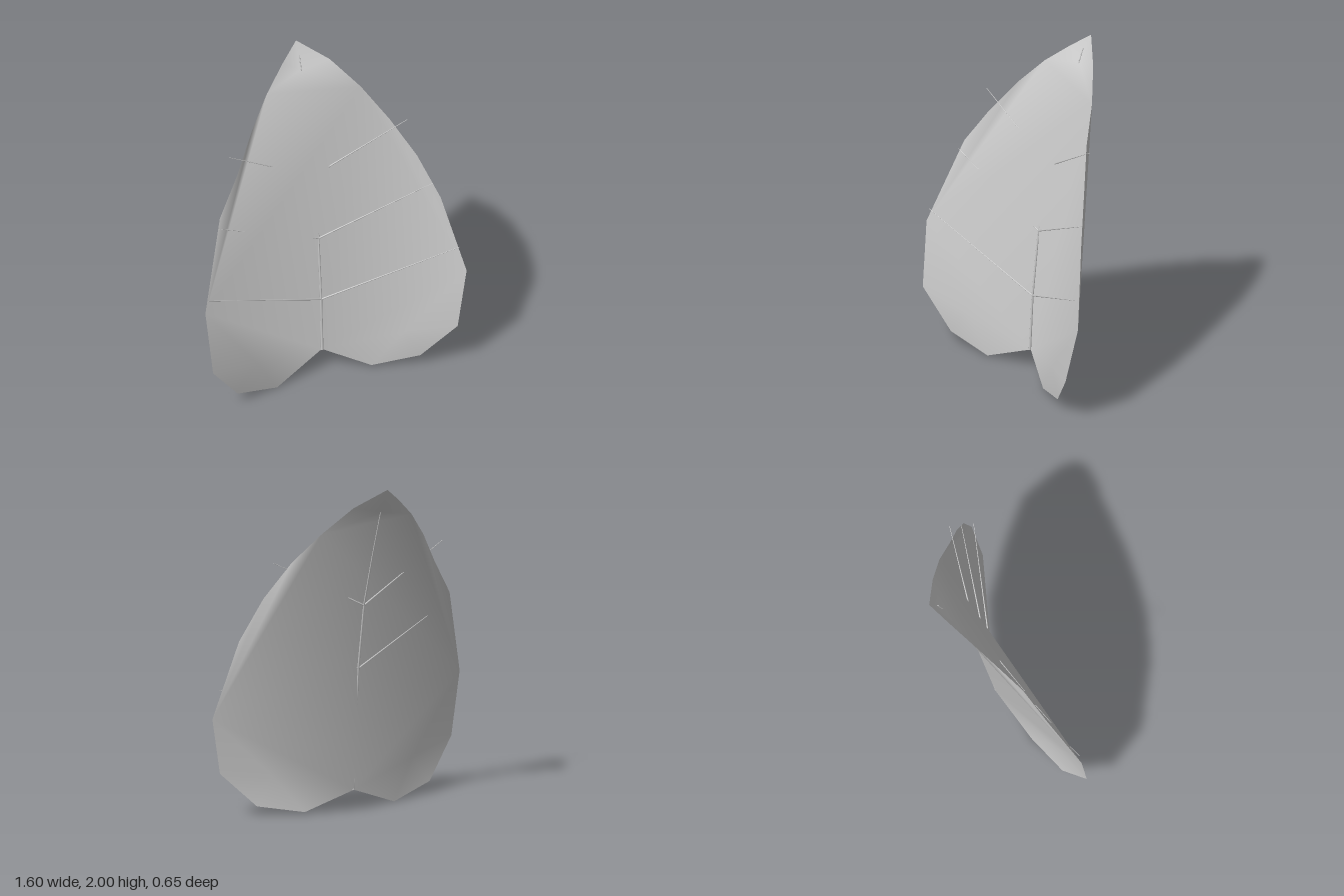
import * as THREE from 'three';

const mat = new THREE.MeshStandardMaterial({ color: 0xcccccc, side: THREE.DoubleSide });
const MID = -0.01; // x of the midrib

const POINTS = [
  // Leaf outline, clockwise from the tip as seen from the front
  [MID, 2, -0.33], [0.16, 1.89, -0.235], [0.31, 1.73, -0.13], [0.44, 1.55, -0.01],
  [0.57, 1.33, 0.09], [0.68, 1.07, 0.18], [0.8, 0.6, 0.28],
  [0.73, 0.26, 0.32], [0.53, 0.06, 0.245], [0.26, 0.01, 0.17],
  [MID, 0.13, 0.08],
  [-0.32, 0, 0.175], [-0.59, 0.07, 0.25], [-0.77, 0.3, 0.325], [-0.8, 0.69, 0.28],
  [-0.65, 1.21, 0.12], [-0.51, 1.43, 0.04], [-0.38, 1.63, -0.07],
  [-0.25, 1.79, -0.17], [-0.12, 1.91, -0.26],
  // Inner points: hollow of the tip, swell of each lobe
  [MID, 1.85, -0.25], [0.44, 0.23, 0.224], [-0.46, 0.23, 0.224],
];

// Fans of triangles: [centre, rim points in order]
const FANS = [
  [6, [10, 2, 3, 4, 5]],             // left half
  [14, [15, 16, 17, 18, 2, 10]],     // right half
  [20, [0, 1, 2, 18, 19, 0]],        // tip
  [21, [6, 7, 8, 9, 10, 6]],         // left lobe
  [22, [10, 11, 12, 13, 14, 10]],    // right lobe
];

function leafBlade() {
  const index = [];
  for (const [c, rim] of FANS)
    for (let i = 0; i + 1 < rim.length; i++) index.push(c, rim[i + 1], rim[i]);
  const geo = new THREE.BufferGeometry();
  geo.setAttribute('position', new THREE.Float32BufferAttribute(POINTS.flat(), 3));
  geo.setIndex(index);
  geo.computeVertexNormals();
  const mesh = new THREE.Mesh(geo, mat);
  mesh.name = 'leafBlade';
  return mesh;
}

// Thin tapered rod between two points
function rod(name, a, b, ra, rb) {
  const dir = b.clone().sub(a);
  const mesh = new THREE.Mesh(new THREE.CylinderGeometry(rb, ra, dir.length(), 6), mat);
  mesh.position.copy(a).add(b).multiplyScalar(0.5);
  mesh.quaternion.setFromUnitVectors(new THREE.Vector3(0, 1, 0), dir.normalize());
  mesh.name = name;
  return mesh;
}

export function createModel() {
  const group = new THREE.Group();
  group.name = 'leaf';
  group.add(leafBlade());

  // Midrib: a backward-curving chain that tapers to the tip
  const midrib = new THREE.Group();
  midrib.name = 'midrib';
  const spine = [[0.13, 0.086], [0.465, 0.068], [0.86, 0.027], [1.25, -0.042], [1.55, -0.14], [1.93, -0.276]]
    .map(([y, z]) => new THREE.Vector3(MID, y, z));
  const radius = (i) => 0.008 - 0.001 * i;
  for (let i = 0; i + 1 < spine.length; i++)
    midrib.add(rod('midribSegment', spine[i], spine[i + 1], radius(i), radius(i + 1)));
  group.add(midrib);

  // Three mirrored pairs of side veins: [spine point, reach, y, z]
  const veins = [[1, 0.77, 0.77, 0.275], [2, 0.655, 1.16, 0.15], [3, 0.545, 1.55, 0.03]];
  for (const [i, reach, y, z] of veins)
    for (const s of [1, -1]) {
      const tip = new THREE.Vector3(MID + s * reach, y, z);
      group.add(rod(s > 0 ? 'leftVein' : 'rightVein', spine[i], tip, 0.005, 0.0015));
    }

  return group;
}
